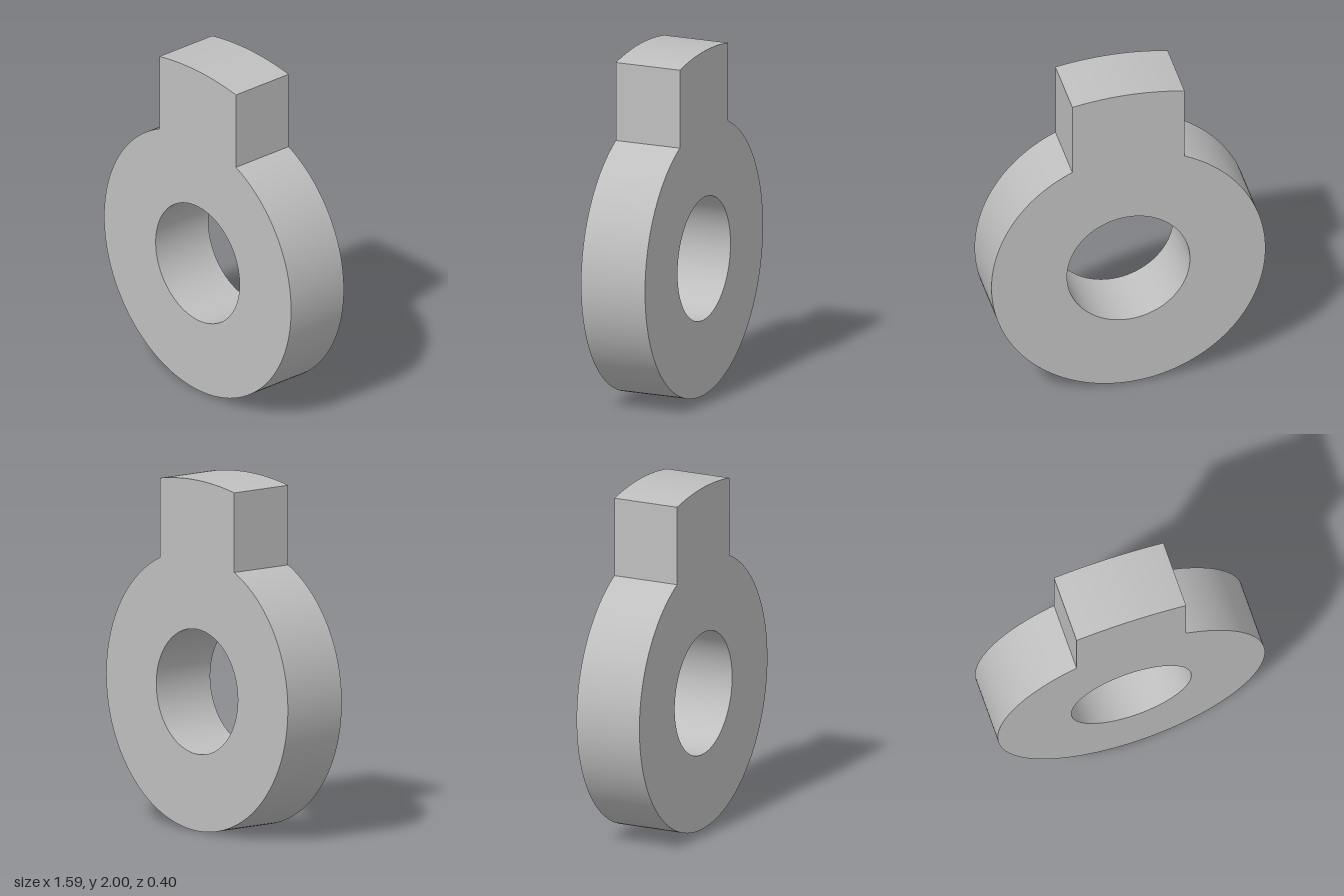
import * as THREE from 'three';
import { toCreasedNormals } from 'three/addons/utils/BufferGeometryUtils.js';

const R = 0.793;        // ring radius, also its centre height
const HOLE = 0.356;     // bore radius
const TAB = 0.325;      // half width of the tab
const DEPTH = 0.396;
const CROWN = 1.79;     // radius of the tab's curved top

export function createModel() {
  const group = new THREE.Group();
  const grey = new THREE.MeshStandardMaterial({ color: 0xbfbfbf });
  grey.name = 'grey';

  // Outline: ring from the right tab corner clockwise to the left one, then over the tab
  const corner = Math.acos(TAB / R);
  const crown = Math.acos(TAB / CROWN);
  const outline = new THREE.Shape();
  outline.absarc(0, R, R, corner, Math.PI - corner, true);
  outline.absarc(0, 2 - CROWN, CROWN, Math.PI - crown, crown, true);
  outline.closePath();

  // Round bore
  const bore = new THREE.Path();
  bore.absarc(0, R + 0.001, HOLE, 0, Math.PI * 2, false);
  outline.holes.push(bore);

  const extruded = new THREE.ExtrudeGeometry(outline, {
    depth: DEPTH, bevelEnabled: false, curveSegments: 64,
  });
  extruded.translate(0, 0, -DEPTH / 2);

  const washer = new THREE.Mesh(toCreasedNormals(extruded, 0.3), grey);
  washer.name = 'tabbedRing';
  group.add(washer);
  return group;
}
